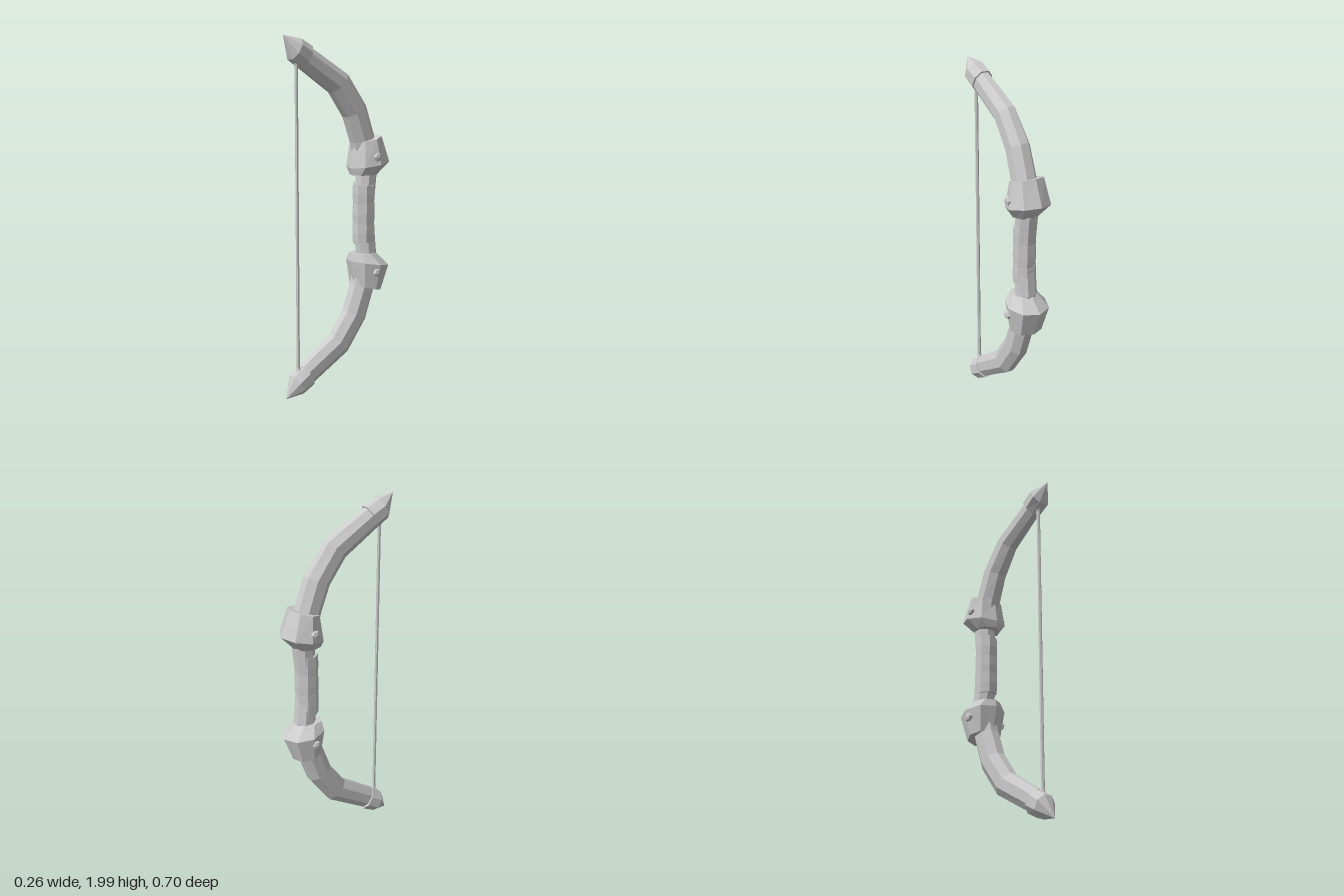
import * as THREE from 'three';

const SIDES = 8;
const MID = 1.003; // height of the mirror plane between the two limbs
const material = new THREE.MeshStandardMaterial({ color: 0xcccccc, flatShading: true });

// Skin rings of [y, z, tilt toward +z, half width, half depth, roll]; closed at both ends.
function loft(rings, vertexForward = false) {
  const phase = vertexForward ? 0 : Math.PI / SIDES;
  const grow = vertexForward ? 1 : 1 / Math.cos(phase);
  const pos = [], index = [];
  for (const [y, z, tilt, w, d, roll = 0] of rings) {
    for (let i = 0; i < SIDES; i++) {
      const a = phase + (i / SIDES) * Math.PI * 2;
      const x = Math.cos(a) * w * grow, e = Math.sin(a) * d * grow;
      pos.push(x, y - Math.sin(tilt) * e + x * roll, z + Math.cos(tilt) * e);
    }
  }
  const last = (rings.length - 1) * SIDES, centre = rings.length * SIDES;
  for (const r of [rings[0], rings[rings.length - 1]]) pos.push(0, r[0], r[1]);
  for (let i = 0; i < SIDES; i++) {
    const j = (i + 1) % SIDES;
    for (let k = 0; k < last; k += SIDES) {
      const a = k + i, b = k + j, c = a + SIDES, d = b + SIDES;
      index.push(a, c, b, b, c, d);
    }
    index.push(centre, i, j, centre + 1, last + j, last + i);
  }
  const g = new THREE.BufferGeometry();
  g.setAttribute('position', new THREE.Float32BufferAttribute(pos, 3));
  g.setIndex(index);
  return finish(g);
}

function finish(g) {
  const flat = g.index ? g.toNonIndexed() : g;
  flat.computeVertexNormals();
  return flat;
}

// Mirror a geometry to the lower half and restore its winding.
function mirrored(geometry) {
  const g = geometry.clone();
  const p = g.attributes.position;
  for (let i = 0; i < p.count; i++) p.setY(i, 2 * MID - p.getY(i));
  const a = new THREE.Vector3(), b = new THREE.Vector3();
  for (let i = 0; i < p.count; i += 3) {
    a.fromBufferAttribute(p, i + 1);
    b.fromBufferAttribute(p, i + 2);
    p.setXYZ(i + 1, b.x, b.y, b.z);
    p.setXYZ(i + 2, a.x, a.y, a.z);
  }
  return finish(g);
}

export function createModel() {
  const bow = new THREE.Group();
  bow.name = 'bow';
  const add = (name, geometry) => {
    const mesh = new THREE.Mesh(geometry, material);
    mesh.name = name;
    bow.add(mesh);
  };
  const addPair = (name, geometry) => {
    add('upper' + name, geometry);
    add('lower' + name, mirrored(geometry));
  };

  // Curved limb, running from the middle of the handle to the tip
  addPair('Limb', loft([
    [MID, -0.2, 0, 0.053, 0.053],
    [1.23, -0.218, 0, 0.058, 0.057],
    [1.43, -0.187, 0.25, 0.063, 0.07],
    [1.59, -0.129, 0.45, 0.06, 0.072],
    [1.745, -0.015, 0.75, 0.054, 0.071],
    [1.885, 0.215, 1.02, 0.046, 0.062],
  ]));

  // Pointed cap on the limb end
  addPair('TipCap', loft([
    [1.885, 0.205, 1.05, 0.056, 0.066],
    [1.926, 0.275, 1.07, 0.059, 0.062],
    [1.998, 0.348, 1.0, 0.0005, 0.0005],
  ]));

  // Faceted clasp between handle and limb
  addPair('Clasp', loft([
    [1.23, -0.195, 0, 0.075, 0.08],
    [1.29, -0.228, 0.16, 0.124, 0.125],
    [1.435, -0.213, 0.23, 0.1, 0.085],
  ], true));

  // Small studs on both flanks of each clasp
  const studProfile = [[0, -0.035], [0.017, -0.035], [0.017, -0.008], [0.027, -0.002], [0.022, 0.01], [0, 0.016]]
    .map(([r, h]) => new THREE.Vector2(r, h));
  for (const side of [1, -1]) {
    const stud = new THREE.LatheGeometry(studProfile, 6);
    stud.rotateZ(-side * Math.PI / 2);
    stud.translate(side * 0.115, 1.335, -0.207);
    addPair(side > 0 ? 'LeftStud' : 'RightStud', finish(stud));
  }

  // Handle wrapping: overlapping sleeves with slanted edges
  const wraps = [
    [0.835, 0.945, 0.06, -0.12, 0.12],
    [0.935, 1.065, -0.1, 0.1, -0.1],
    [1.06, 1.175, 0.12, -0.06, 0.1],
  ];
  wraps.forEach(([low, high, tiltLow, tiltHigh, roll], i) => {
    const mid = (low + high) / 2;
    add('gripWrap' + (i + 1), loft([
      [low, -0.2, tiltLow, 0.058, 0.059, roll],
      [mid, -0.2, 0, 0.06, 0.062],
      [high, -0.201, tiltHigh, 0.06, 0.061, -roll],
    ]));
  });

  // Bowstring with a flared knot at each end
  const string = new THREE.CylinderGeometry(0.01, 0.01, 1.72, 6);
  string.translate(0, MID, 0.265);
  add('bowstring', finish(string));
  const knot = new THREE.CylinderGeometry(0.02, 0.01, 0.035, 6);
  knot.translate(0, 1.845, 0.262);
  addPair('StringKnot', finish(knot));

  return bow;
}
